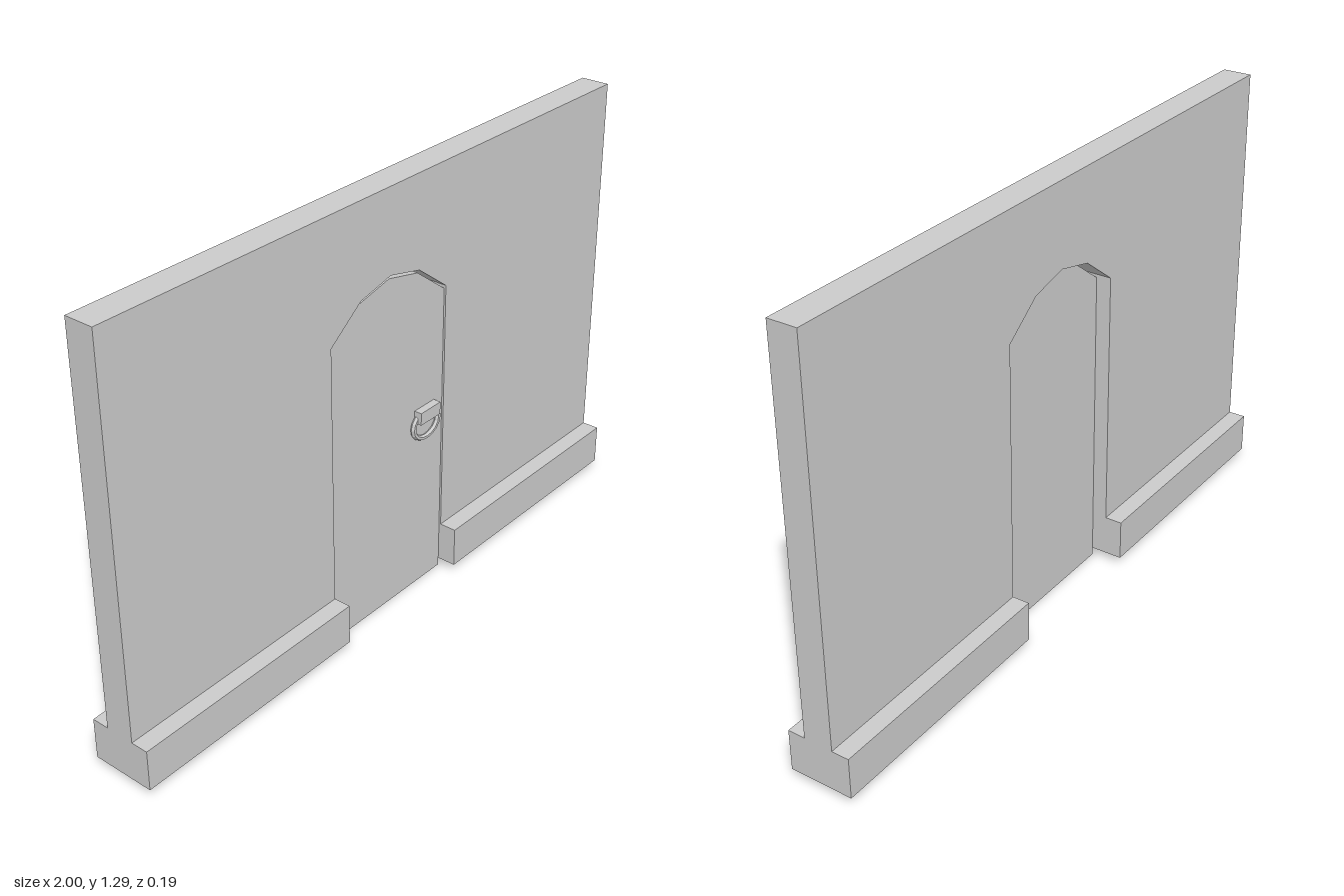
import * as THREE from 'three';

const material = new THREE.MeshStandardMaterial({ color: 0xcccccc, flatShading: true, side: THREE.DoubleSide });

const TOP = 1.29, BASE_TOP = 0.147, BASE_BOTTOM = 0.024;
const WALL_Z = 0.0435, BASE_Z = 0.0955, DOOR_X = 0.238;

function add(parent, name, geometry) {
  const mesh = new THREE.Mesh(geometry, material);
  mesh.name = name;
  parent.add(mesh);
  return mesh;
}

// Strip of quads joining two matching rows of points
function ribbon(a, b) {
  const pos = [];
  for (let i = 0; i < a.length - 1; i++) {
    pos.push(...a[i], ...a[i + 1], ...b[i + 1], ...a[i], ...b[i + 1], ...b[i]);
  }
  const g = new THREE.BufferGeometry();
  g.setAttribute('position', new THREE.Float32BufferAttribute(pos, 3));
  g.computeVertexNormals();
  return g;
}

// Doorway outline, left foot over the arch to right foot
function archOutline(foot, spring, shoulder, crown) {
  return [[-DOOR_X, foot], [-DOOR_X, spring], [-0.12, shoulder], [0, crown],
    [0.12, shoulder], [DOOR_X, spring], [DOOR_X, foot]];
}

const toShape = (pts) => new THREE.Shape(pts.map(([x, y]) => new THREE.Vector2(x, y)));

export function createModel() {
  const model = new THREE.Group();
  model.name = 'wallWithDoor';

  // Hollow wall: two faces, outer rim and doorway lining
  const wall = new THREE.Group();
  wall.name = 'wall';
  model.add(wall);
  const opening = archOutline(BASE_TOP, 0.925, 1.014, 1.042);
  const rim = [[1, BASE_TOP], [1, TOP], [-1, TOP], [-1, BASE_TOP]];
  const face = toShape([...rim, ...opening]);
  add(wall, 'wallFront', new THREE.ShapeGeometry(face)).position.z = WALL_Z;
  const back = add(wall, 'wallBack', new THREE.ShapeGeometry(face));
  back.rotation.y = Math.PI;
  back.position.z = -WALL_Z;
  const atZ = (pts, z) => pts.map(([x, y]) => [x, y, z]);
  add(wall, 'wallRim', ribbon(atZ(rim, -WALL_Z), atZ(rim, WALL_Z)));
  add(wall, 'doorwayLining', ribbon(atZ(opening, -WALL_Z), atZ(opening, WALL_Z)));

  // Plinths on both sides of the doorway, open underneath
  const length = 1 - DOOR_X;
  for (const side of [-1, 1]) {
    const plinth = new THREE.Group();
    plinth.name = side > 0 ? 'leftPlinth' : 'rightPlinth';
    plinth.position.x = side * (1 + DOOR_X) / 2;
    model.add(plinth);
    for (const turn of [0, Math.PI]) {
      const profile = [[BASE_BOTTOM, BASE_Z], [BASE_TOP, BASE_Z], [BASE_TOP, WALL_Z]];
      const atX = (x) => profile.map(([y, z]) => [x, y, z]);
      add(plinth, 'plinthLedge', ribbon(atX(length / 2), atX(-length / 2))).rotation.y = turn;
      const end = add(plinth, 'plinthEnd', new THREE.PlaneGeometry(2 * BASE_Z, BASE_TOP - BASE_BOTTOM));
      end.rotation.y = turn + Math.PI / 2;
      end.position.set(turn ? -length / 2 : length / 2, (BASE_TOP + BASE_BOTTOM) / 2, 0);
    }
  }

  // Door slab, set just behind the wall's front face
  const doorShape = toShape(archOutline(0, 0.915, 1.004, 1.031));
  const door = new THREE.ExtrudeGeometry(doorShape, { depth: 0.036, bevelEnabled: false });
  add(model, 'door', door).position.z = 0.0015;

  // Ring handle hanging from a small block
  const handle = new THREE.Group();
  handle.name = 'handle';
  handle.position.set(0.158, 0.53, 0.0425);
  model.add(handle);
  add(handle, 'handleRing', new THREE.TorusGeometry(0.055, 0.009, 6, 16)).scale.y = 0.8;
  add(handle, 'handleMount', new THREE.BoxGeometry(0.086, 0.038, 0.024)).position.set(0, 0.035, 0.0065);

  return model;
}
